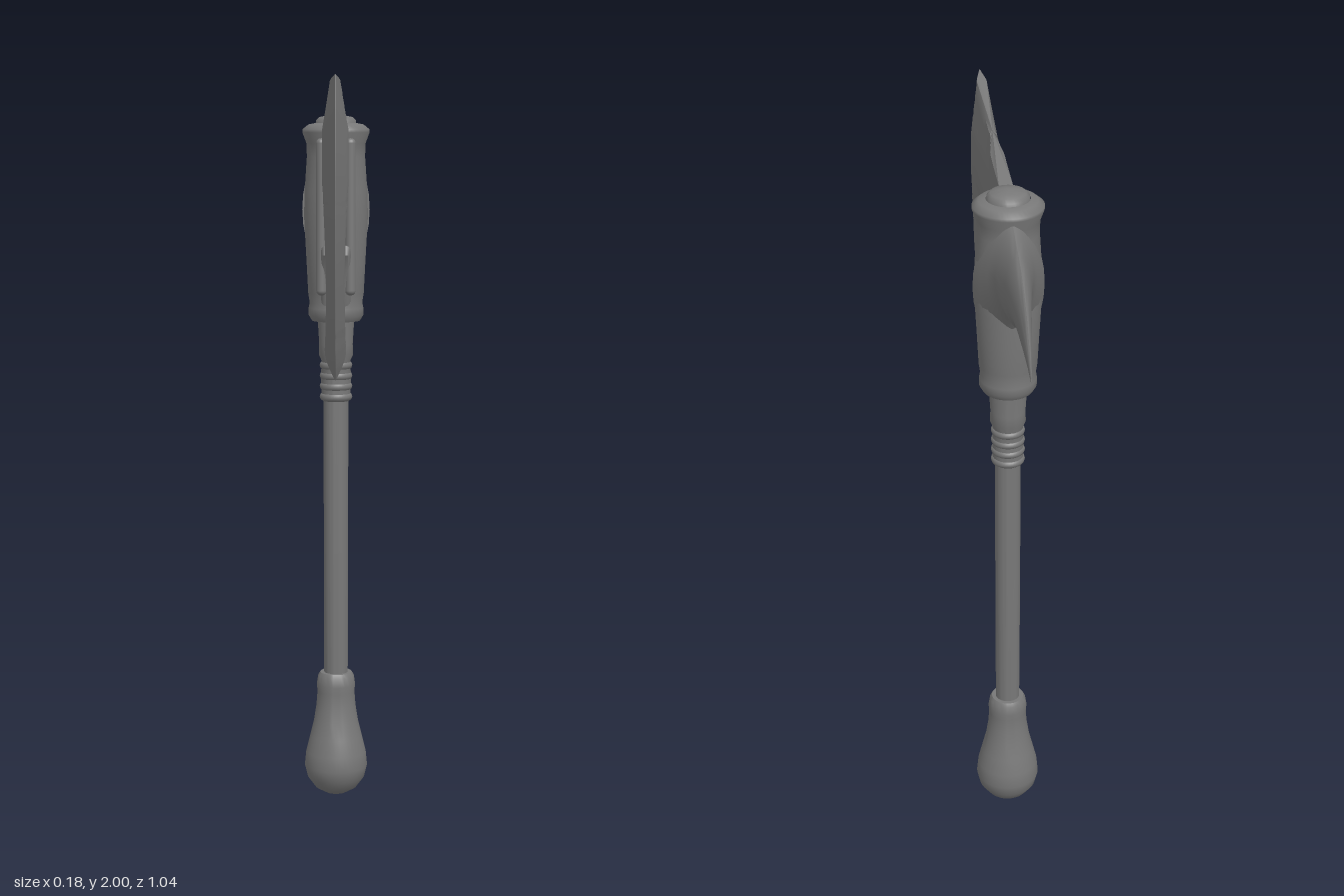
import * as THREE from 'three';
import { toCreasedNormals } from 'three/addons/utils/BufferGeometryUtils.js';
import { RoundedBoxGeometry } from 'three/addons/geometries/RoundedBoxGeometry.js';

const AXIS_Z = -0.1; // the shaft stands behind the centre

export function createModel() {
  const model = new THREE.Group();
  const material = new THREE.MeshStandardMaterial({ color: 0x787878 });

  const add = (name, geometry, x = 0, y = 0, z = 0) => {
    const mesh = new THREE.Mesh(geometry, material);
    mesh.name = name;
    mesh.position.set(x, y, z);
    model.add(mesh);
    return mesh;
  };

  // Turned part around the shaft axis from [radius, height] points
  const turned = (name, points) => {
    const profile = points.map(([r, y]) => new THREE.Vector2(r, y));
    const g = new THREE.LatheGeometry(profile, 40);
    return add(name, toCreasedNormals(g, 0.9), 0, 0, AXIS_Z);
  };

  // Flat part with a [z, y] outline, extruded along x
  const plate = (name, outline, width, bevel) => {
    const shape = new THREE.Shape(outline.map(([z, y]) => new THREE.Vector2(z, y)));
    const depth = width - 2 * bevel;
    const g = new THREE.ExtrudeGeometry(shape, {
      depth, bevelSize: bevel, bevelThickness: bevel, bevelOffset: -bevel, bevelSegments: 3,
    });
    g.translate(0, 0, -depth / 2).rotateY(-Math.PI / 2);
    return add(name, toCreasedNormals(g, 0.8));
  };

  // Closed skin over rings of equal point count
  const loft = (rings, crease) => {
    const n = rings[0].length;
    const points = rings.flat();
    const index = [];
    for (let i = 0; i < rings.length - 1; i++) {
      for (let j = 0; j < n; j++) {
        const a = i * n + j, b = i * n + (j + 1) % n;
        index.push(a, b, b + n, a, b + n, a + n);
      }
    }
    [0, rings.length - 1].forEach((r, end) => {
      const centre = new THREE.Vector3();
      rings[r].forEach((p) => centre.addScaledVector(p, 1 / n));
      const c = points.push(centre) - 1;
      for (let j = 0; j < n; j++) {
        const a = r * n + j, b = r * n + (j + 1) % n;
        index.push(c, end ? a : b, end ? b : a);
      }
    });
    // Turn the skin outwards if its enclosed volume is negative
    let volume = 0;
    const cross = new THREE.Vector3();
    for (let i = 0; i < index.length; i += 3) {
      cross.crossVectors(points[index[i + 1]], points[index[i + 2]]);
      volume += points[index[i]].dot(cross);
    }
    if (volume < 0) index.reverse();
    const g = new THREE.BufferGeometry().setFromPoints(points);
    g.setIndex(index);
    return toCreasedNormals(g, crease);
  };

  // Pommel, grip and ringed collar
  turned('pommel', [
    [0, 0], [0.03, 0.006], [0.058, 0.022], [0.08, 0.052], [0.088, 0.085], [0.084, 0.125],
    [0.073, 0.17], [0.062, 0.215], [0.055, 0.26], [0.052, 0.3], [0.054, 0.32],
    [0.05, 0.345], [0.044, 0.355], [0.03, 0.355],
  ]);
  turned('shaft', [[0.033, 0.33], [0.034, 0.7], [0.034, 1.14]]);
  turned('collar', [
    [0.03, 1.125], [0.04, 1.128], [0.041, 1.19], [0.04, 1.235], [0.047, 1.25],
    [0.046, 1.28], [0.049, 1.33], [0.049, 1.36],
  ]);
  for (let i = 0; i < 4; i++) {
    const ring = add('collarRing', new THREE.TorusGeometry(0.033, 0.012, 10, 36), 0, 1.135 + i * 0.029, AXIS_Z);
    ring.rotation.x = Math.PI / 2;
  }

  // Head socket with flared rim and top cap
  turned('socket', [
    [0.04, 1.345], [0.066, 1.345], [0.075, 1.36], [0.075, 1.38], [0.072, 1.395], [0.076, 1.42],
    [0.08, 1.5], [0.087, 1.63], [0.085, 1.7], [0.079, 1.79], [0.08, 1.825], [0.091, 1.855],
    [0.091, 1.863], [0.075, 1.876], [0.056, 1.88],
  ]);
  turned('topCap', [[0.056, 1.87], [0.054, 1.887], [0.045, 1.896], [0.025, 1.9], [0, 1.906]]);

  // Cheeks that clamp the blade, and the bracket below it
  for (const side of [1, -1]) {
    add('cheek', new RoundedBoxGeometry(0.028, 0.42, 0.07, 4, 0.013), side * 0.039, 1.63, -0.04);
  }
  plate('bracket', [
    [-0.08, 1.4], [-0.025, 1.39], [-0.012, 1.44], [-0.005, 1.49], [0.015, 1.53], [0.005, 1.555], [-0.08, 1.555],
  ], 0.08, 0.014);
  plate('bladeLug', [
    [-0.08, 1.56], [0.0, 1.565], [0.02, 1.59], [0.055, 1.605], [0.068, 1.63], [0.066, 1.65],
    [0.085, 1.69], [-0.08, 1.69],
  ], 0.04, 0.008);

  // Blade: stations from top corner to lower point, [inner z, inner y, outer z, outer y]
  const stations = [
    [-0.06, 1.895, 0.475, 2.0], [-0.06, 1.84, 0.505, 1.88], [-0.06, 1.76, 0.52, 1.78],
    [-0.06, 1.665, 0.522, 1.71], [0.075, 1.668, 0.521, 1.68], [0.14, 1.677, 0.52, 1.65],
    [0.22, 1.655, 0.515, 1.6], [0.285, 1.585, 0.507, 1.545], [0.305, 1.5, 0.49, 1.475],
    [0.295, 1.42, 0.465, 1.4], [0.273, 1.377, 0.45, 1.362], [0.27, 1.369, 0.445, 1.354],
    [0.278, 1.364, 0.441, 1.346], [0.312, 1.345, 0.43, 1.32], [0.318, 1.336, 0.426, 1.312],
    [0.324, 1.285, 0.4, 1.275], [0.333, 1.268, 0.388, 1.262], [0.356, 1.24, 0.364, 1.237],
  ];
  const curve = (k) => new THREE.CatmullRomCurve3(
    stations.map((s) => new THREE.Vector3(0, s[k + 1], s[k])), false, 'centripetal');
  const inner = curve(0), outer = curve(2);
  const rows = (stations.length - 1) * 4, cols = 36;
  const bladeRings = [];
  for (let i = 0; i <= rows; i++) {
    const a = inner.getPoint(i / rows), b = outer.getPoint(i / rows);
    const length = a.distanceTo(b);
    const station = i / 4;
    const right = [], left = [];
    for (let j = 0; j <= cols; j++) {
      const u = j / cols;
      const p = a.clone().lerp(b, u);
      // Hollow top edge with a small crest, fading downwards
      p.y -= 0.022 * Math.sin(Math.PI * u) * Math.max(0, 1 - station / 2);
      p.y += 0.012 * Math.exp(-(((p.z - 0.185) / 0.018) ** 2)) * Math.max(0, 1 - station);
      // Swells toward the cutting bevel, thins to the edge and around the round cut-out
      const body = 0.02 + 0.013 * THREE.MathUtils.smoothstep(p.z, 0.18, 0.41);
      const topEdge = 0.9 - 0.5 * THREE.MathUtils.smoothstep(p.z, 0.1, 0.2);
      const taper = THREE.MathUtils.lerp(topEdge, 1, Math.min(1, station));
      const hollow = 0.011 + 0.13 * Math.max(0, Math.hypot(p.z - 0.19, p.y - 1.53) - 0.13);
      const half = Math.min(body * taper, hollow, 0.0008 + 0.3 * (1 - u) * length);
      right.push(new THREE.Vector3(half, p.y, p.z));
      left.unshift(new THREE.Vector3(-half, p.y, p.z));
    }
    bladeRings.push([...right, ...left]);
  }
  add('blade', loft(bladeRings, 0.5));

  // Back spike: [z, top y, bottom y, half width], ridged above and below
  const spike = [
    [-0.11, 1.855, 1.44, 0.092], [-0.15, 1.853, 1.5, 0.079], [-0.18, 1.845, 1.555, 0.063],
    [-0.215, 1.835, 1.602, 0.049], [-0.26, 1.82, 1.602, 0.038], [-0.285, 1.812, 1.622, 0.034],
    [-0.335, 1.79, 1.632, 0.026], [-0.385, 1.762, 1.624, 0.019], [-0.44, 1.715, 1.61, 0.012],
    [-0.485, 1.655, 1.598, 0.006], [-0.52, 1.588, 1.584, 0.001],
  ];
  const spikeRings = spike.map(([z, top, bottom, half]) => {
    const ring = [];
    for (let j = 0; j < 32; j++) {
      const t = (j / 32) * Math.PI * 2;
      const s = Math.sin(t), c = Math.cos(t);
      const x = half * Math.sign(s) * Math.pow(Math.abs(s), 1.45);
      ring.push(new THREE.Vector3(x, (top + bottom) / 2 + (c * (top - bottom)) / 2, z));
    }
    return ring;
  });
  add('backSpike', loft(spikeRings, 0.7));

  return model;
}
